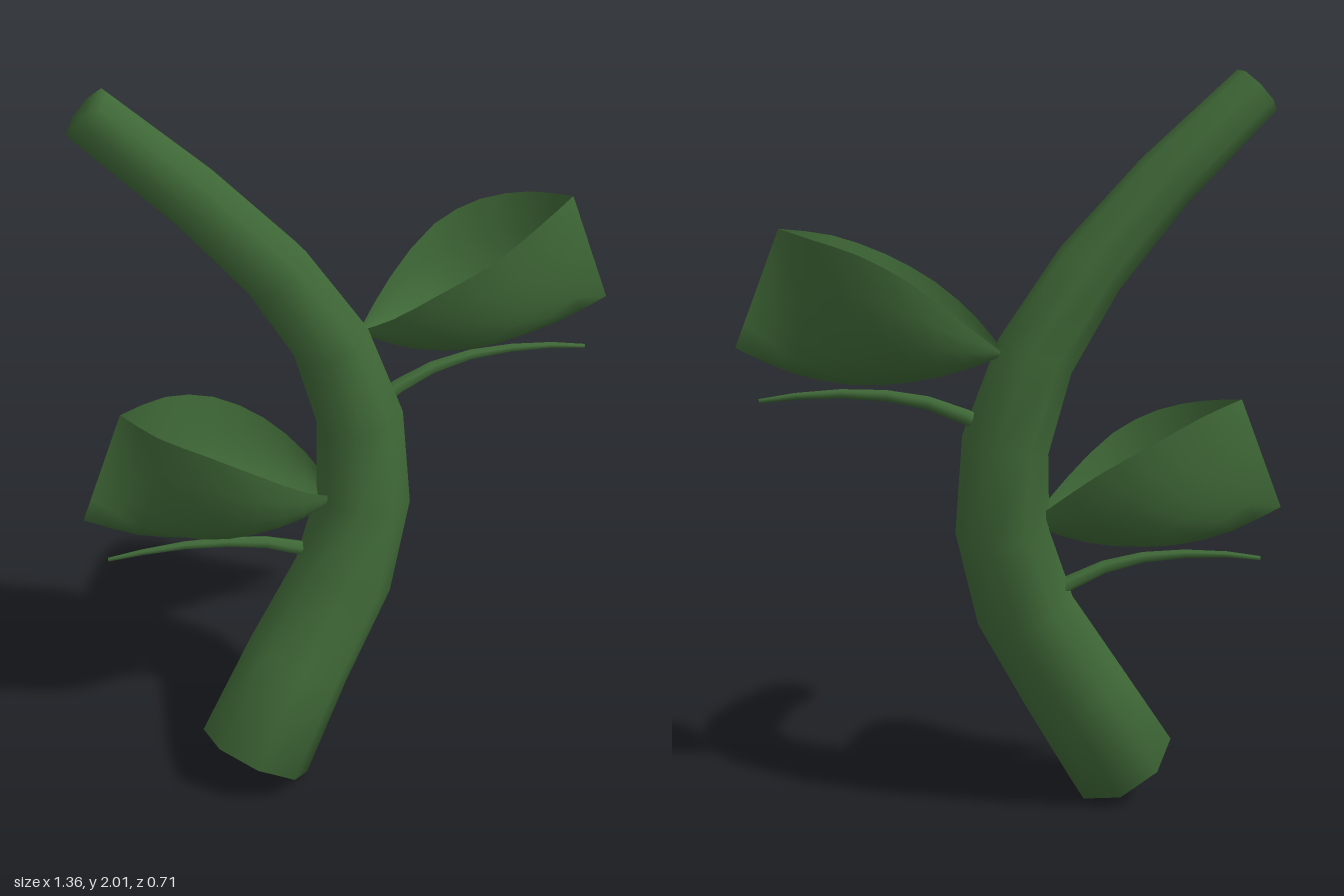
import * as THREE from 'three';

const green = new THREE.MeshStandardMaterial({ color: 0x3f6837, side: THREE.DoubleSide });
green.name = 'leafGreen';

const toVectors = (list) => list.map((p) => new THREE.Vector3(...p));

// Joins rows of equally many points into one smooth surface
function skin(rows) {
  const n = rows[0].length;
  const geo = new THREE.BufferGeometry().setFromPoints(rows.flat());
  const index = [];
  for (let i = 0; i < rows.length - 1; i++) {
    for (let j = 0; j < n - 1; j++) {
      const a = i * n + j, b = a + 1, c = a + n, d = c + 1;
      index.push(a, b, d, a, d, c);
    }
  }
  geo.setIndex(index);
  geo.computeVertexNormals();
  return geo;
}

// Tapered round stalk with closed ends; each entry is [x, y, z, radius]
function stalk(name, entries, sides) {
  const pts = toVectors(entries.map((e) => e.slice(0, 3)));
  const last = pts.length - 1;
  const ring = (i, radius) => {
    const t = pts[Math.min(i + 1, last)].clone().sub(pts[Math.max(i - 1, 0)]).normalize();
    const u = new THREE.Vector3(0, 0, 1).cross(t).normalize();
    const v = t.clone().cross(u);
    return Array.from({ length: sides + 1 }, (_, j) => {
      const a = ((j % sides) / sides) * Math.PI * 2;
      return pts[i].clone()
        .addScaledVector(u, radius * Math.cos(a))
        .addScaledVector(v, radius * Math.sin(a));
    });
  };
  const rows = [ring(0, 0), ...entries.map((e, i) => ring(i, e[3])), ring(last, 0)];
  const geo = skin(rows);
  // Share normals across the seam
  const nor = geo.attributes.normal;
  for (let r = 0; r < rows.length; r++) {
    const a = r * (sides + 1), b = a + sides;
    const m = new THREE.Vector3().fromBufferAttribute(nor, a)
      .add(new THREE.Vector3().fromBufferAttribute(nor, b)).normalize();
    nor.setXYZ(a, m.x, m.y, m.z);
    nor.setXYZ(b, m.x, m.y, m.z);
  }
  const mesh = new THREE.Mesh(geo, green);
  mesh.name = name;
  return mesh;
}

// Boat-shaped leaf: a keel and two rims that meet in a straight upright prow
function cuppedLeaf() {
  const curve = (list) => new THREE.CatmullRomCurve3(toVectors(list));
  const keel = curve([[0.03, 1.28, -0.08], [0.12, 1.245, -0.11], [0.25, 1.215, -0.15],
    [0.4, 1.21, -0.2], [0.55, 1.245, -0.25], [0.68, 1.31, -0.29]]);
  const frontRim = curve([[0.03, 1.29, -0.07], [0.12, 1.365, 0.01], [0.24, 1.455, 0.04],
    [0.37, 1.53, 0.01], [0.48, 1.585, -0.1], [0.57, 1.61, -0.25]]);
  const backRim = curve([[0.03, 1.29, -0.09], [0.1, 1.38, -0.22], [0.21, 1.49, -0.325],
    [0.33, 1.555, -0.35], [0.46, 1.59, -0.325], [0.57, 1.61, -0.25]]);
  const ROWS = 10, HALF = 5, rows = [];
  for (let i = 0; i <= ROWS; i++) {
    const t = i / ROWS, k = keel.getPoint(t), straight = t ** 4;
    const row = [];
    for (let j = -HALF; j <= HALF; j++) {
      const rim = (j < 0 ? frontRim : backRim).getPoint(t);
      const u = Math.abs(j) / HALF, a = (u * Math.PI) / 2;
      const out = THREE.MathUtils.lerp(Math.sin(a), u, straight);
      const up = THREE.MathUtils.lerp(1 - Math.cos(a), u, straight);
      row.push(new THREE.Vector3(
        k.x + (rim.x - k.x) * out, k.y + (rim.y - k.y) * up, k.z + (rim.z - k.z) * out));
    }
    rows.push(row);
  }
  const mesh = new THREE.Mesh(skin(rows), green);
  mesh.name = 'cuppedLeaf';
  return mesh;
}

// One leaf with the thin tendril below it
function leafPair(name) {
  const pair = new THREE.Group();
  pair.name = name;
  pair.add(cuppedLeaf(), stalk('tendril', [
    [0.07, 1.08, -0.05, 0.022], [0.13, 1.118, -0.09, 0.021], [0.22, 1.158, -0.13, 0.018],
    [0.32, 1.18, -0.17, 0.015], [0.43, 1.187, -0.205, 0.012], [0.54, 1.182, -0.24, 0.009],
    [0.63, 1.17, -0.265, 0.006]], 6));
  return pair;
}

export function createModel() {
  const model = new THREE.Group();
  model.name = 'plantStem';

  // Bent main stem, thick at the foot
  model.add(stalk('stem', [
    [-0.245, 0.085, 0.21, 0.162], [-0.13, 0.33, 0.095, 0.151], [-0.01, 0.57, 0.01, 0.14],
    [0.042, 0.8, -0.04, 0.129], [0.03, 1.04, -0.055, 0.118], [-0.045, 1.275, -0.03, 0.106],
    [-0.178, 1.5, 0.03, 0.095], [-0.36, 1.725, 0.115, 0.084], [-0.585, 1.955, 0.2, 0.073]], 8));

  // Upper pair on the left, lower pair turned to the other side
  const upper = leafPair('upperLeafPair');
  const lower = leafPair('lowerLeafPair');
  lower.rotation.y = Math.PI;
  lower.position.set(0, -0.465, -0.08);
  model.add(upper, lower);
  return model;
}
